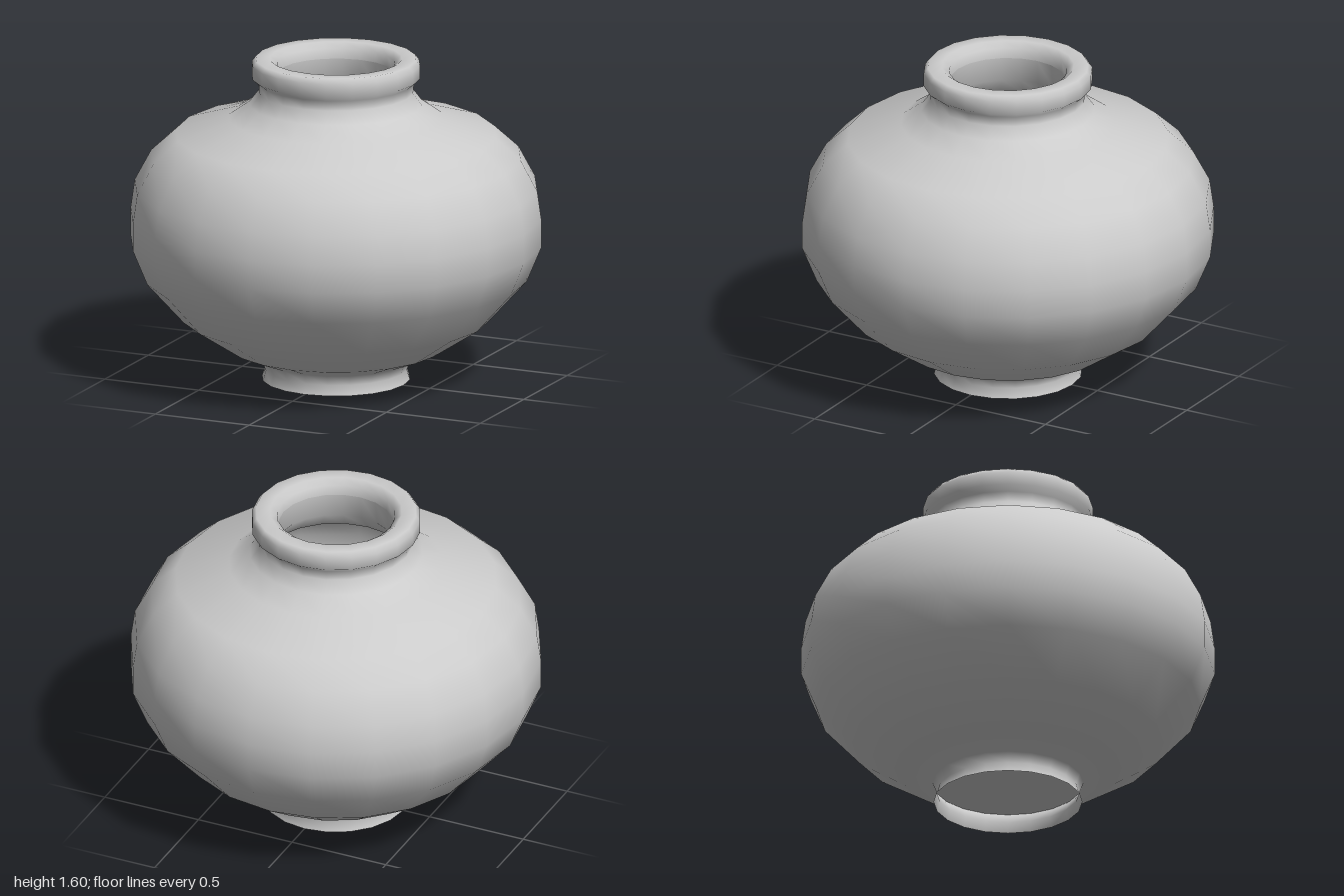
import * as THREE from 'three';

const SIDES = 20;
const material = new THREE.MeshStandardMaterial({ color: 0xcccccc, side: THREE.DoubleSide });

// Turned part from [radius, height] pairs
function turned(name, profile) {
  const points = profile.map(([r, y]) => new THREE.Vector2(r, y));
  const mesh = new THREE.Mesh(new THREE.LatheGeometry(points, SIDES), material);
  mesh.name = name;
  return mesh;
}

export function createModel() {
  const pot = new THREE.Group();
  pot.name = 'pot';

  // Flared hollow foot, round belly, shoulder, neck and rolled rim
  pot.add(turned('outerWall', [
    [0.36, 0], [0.345, 0.05], [0.365, 0.1],
    [0.52, 0.16], [0.75, 0.31], [0.93, 0.51], [1, 0.68], [1, 0.82],
    [0.98, 0.96], [0.9, 1.11], [0.78, 1.22],
    [0.52, 1.3], [0.42, 1.37], [0.375, 1.43], [0.38, 1.48],
    [0.41, 1.505], [0.41, 1.57], [0.39, 1.595],
    [0.32, 1.595], [0.285, 1.57], [0.28, 1.52],
  ]));

  // Inside of the neck and belly, down to the floor
  pot.add(turned('innerWall', [
    [0.28, 1.52], [0.29, 1.4], [0.36, 1.31], [0.5, 1.23],
    [0.73, 1.15], [0.85, 1.04], [0.92, 0.92], [0.94, 0.8], [0.93, 0.68],
    [0.86, 0.53], [0.7, 0.36], [0.49, 0.22], [0.3, 0.17], [0, 0.15],
  ]));

  // Underside, recessed within the foot
  pot.add(turned('underside', [[0, 0.11], [0.2, 0.108], [0.365, 0.1]]));

  return pot;
}
